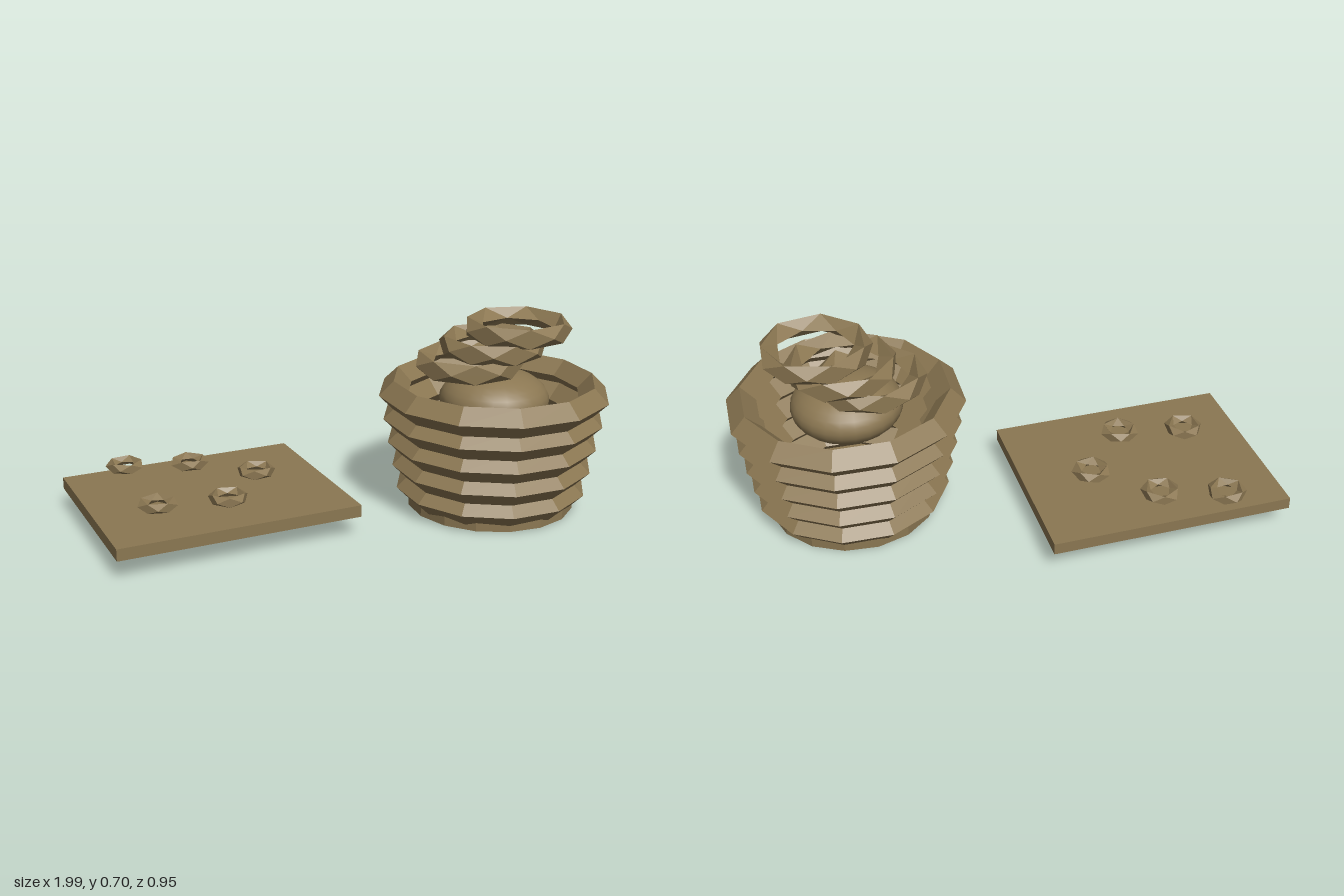
import * as THREE from 'three';

export function createModel() {
  const model = new THREE.Group();
  const wicker = new THREE.MeshStandardMaterial({ color: 0x8b7752, flatShading: true });
  wicker.name = 'wicker brown';
  const smooth = new THREE.MeshStandardMaterial({ color: 0x8b7752 });
  smooth.name = 'smooth brown';

  const add = (parent, name, geometry, material, x, y, z) => {
    const mesh = new THREE.Mesh(geometry, material);
    mesh.name = name;
    mesh.position.set(x, y, z);
    parent.add(mesh);
    return mesh;
  };

  // Faceted ring: four rows of n corners, alternate rows turned by half a step
  const facetRing = (n, outer, inner, half, start) => {
    const mid = outer * Math.cos(Math.PI / n);
    const rows = [[outer, 0], [mid, half], [inner, 0], [mid, -half]];
    const points = [];
    const put = (row, k) => {
      const [r, y] = rows[row];
      const a = start + ((k + (row % 2) / 2) * 2 * Math.PI) / n;
      points.push(r * Math.cos(a), y, r * Math.sin(a));
    };
    for (let i = 0; i < 4; i++) {
      const j = (i + 1) % 4, s = i % 2;
      for (let k = 0; k < n; k++) {
        put(i, k); put(j, k + s); put(i, k + 1);
        put(i, k + 1); put(j, k + s); put(j, k + s + 1);
      }
    }
    const g = new THREE.BufferGeometry();
    g.setAttribute('position', new THREE.Float32BufferAttribute(points, 3));
    g.computeVertexNormals();
    return g;
  };

  // Basket of stacked diamond-section hoops, widening upwards
  const basket = new THREE.Group();
  basket.name = 'basket';
  basket.position.set(0.573, 0, -0.053);
  model.add(basket);
  for (let i = 0; i < 5; i++) {
    const hoop = new THREE.TorusGeometry(0.299 + i * 0.0176, 0.0535, 4, 12).rotateX(Math.PI / 2);
    add(basket, 'basketHoop', hoop, wicker, 0, 0.073 + i * 0.0895, 0);
  }
  const base = add(basket, 'basketBase', new THREE.CylinderGeometry(0.307, 0.307, 0.036, 16), wicker, 0, 0.02, 0);
  base.rotation.x = -0.007;

  // Flattened ball resting in the basket
  const ball = new THREE.SphereGeometry(0.2, 24, 16).scale(1, 0.55, 1);
  add(basket, 'ball', ball, smooth, 0, 0.41, 0.013);

  // Loose coils leaning in a staggered stack above the ball
  [[0.48, 0.54, -0.075, 0.3], [0.573, 0.6, -0.09, 0], [0.66, 0.66, -0.085, -Math.PI / 2]].forEach(([x, y, z, a]) =>
    add(model, 'coil', facetRing(7, 0.2, 0.135, 0.035, a), wicker, x, y, z));

  // Turned board
  const board = add(model, 'board', new THREE.BoxGeometry(0.88, 0.043, 0.702), wicker, -0.475, 0.097, 0.005);
  board.rotation.y = 0.3;

  // Small rings over the board
  [[-0.77, -0.205, 0.55], [-0.537, -0.207, 0.15], [-0.297, -0.087, 1.1], [-0.655, 0.187, 0.3], [-0.412, 0.16, 0.9]]
    .forEach(([x, z, a]) =>
      add(model, 'smallRing', facetRing(5, 0.073, 0.036, 0.017, a), wicker, x, 0.155, z));

  return model;
}
